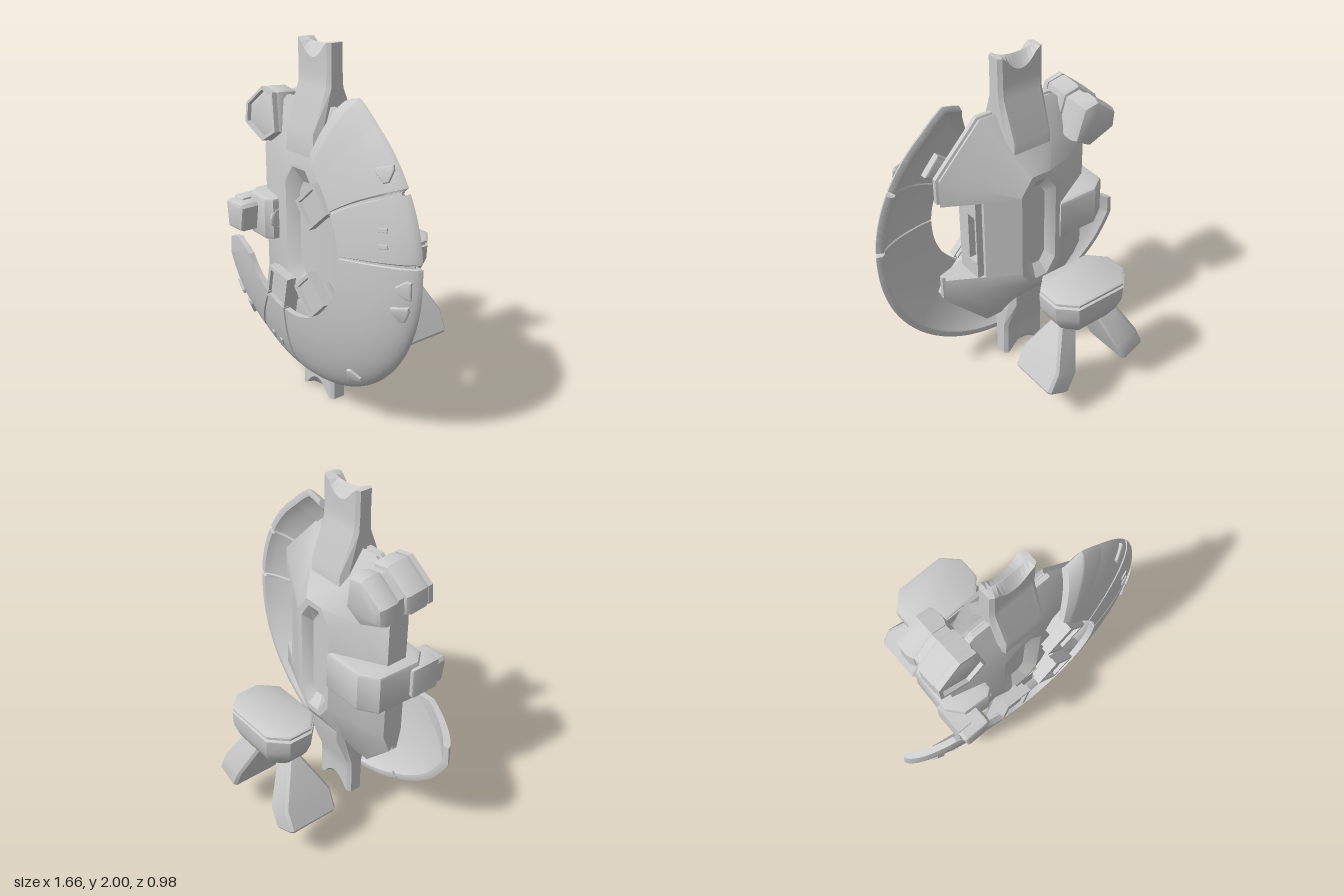
import * as THREE from 'three';
import { toCreasedNormals } from 'three/addons/utils/BufferGeometryUtils.js';

const grey = new THREE.MeshStandardMaterial({ color: 0xcccccc, side: THREE.DoubleSide });
const rad = THREE.MathUtils.degToRad, lerp = THREE.MathUtils.lerp;

function add(parent, name, geo, x = 0, y = 0, z = 0, crease = 0.45) {
  const m = new THREE.Mesh(toCreasedNormals(geo, crease), grey);
  m.name = name;
  m.position.set(x, y, z);
  parent.add(m);
  return m;
}

// Skin over equal-length rings, closed with a strip at both ends
function loft(rings) {
  const n = rings[0].length, idx = [], last = (rings.length - 1) * n;
  for (let r = 0; r < rings.length - 1; r++) for (let i = 0; i < n; i++) {
    const a = r * n + i, b = r * n + (i + 1) % n;
    idx.push(a, b, b + n, a, b + n, a + n);
  }
  for (let i = 0; i < n / 2 - 1; i++) {
    const a = i, b = i + 1, c = n - 2 - i, d = n - 1 - i;
    idx.push(a, c, b, a, d, c, last + a, last + b, last + c, last + a, last + c, last + d);
  }
  const g = new THREE.BufferGeometry();
  g.setAttribute('position', new THREE.Float32BufferAttribute(rings.flat(2), 3));
  g.setIndex(idx);
  return g;
}

// Horizontal chamfered rectangle at height y
function octY(y, hx, hz, c, z0 = 0) {
  const p = [[hx, hz - c], [hx, c - hz], [hx - c, -hz], [c - hx, -hz], [-hx, c - hz], [-hx, hz - c], [c - hx, hz], [hx - c, hz]];
  return p.map(([x, z]) => [x, y, z + z0]);
}

function extrude(points, depth, bevel, hole) {
  const s = new THREE.Shape(points.map(p => new THREE.Vector2(...p)));
  if (hole) s.holes.push(new THREE.Path(hole.map(p => new THREE.Vector2(...p))));
  return new THREE.ExtrudeGeometry(s, { depth, bevelEnabled: bevel > 0, bevelSize: bevel, bevelThickness: bevel, bevelOffset: -bevel, bevelSegments: 2 });
}
const rect = (w, h, x = 0) => [[x - w, -h], [x + w, -h], [x + w, h], [x - w, h]];

// Body section: octagon cut flat on one side and notched on the other
function bodyRing(z, hw, hh, cx, cy) {
  const e = hh - cy, n = Math.min(0.25, e), xi = Math.min(hw, 0.31), xl = Math.min(hw, 0.42), el = e + cy * (hw - xl) / cx;
  return [[hw, -e], [hw, -n], [xi, -n], [xi, n], [hw, n], [hw, e], [hw - cx, hh], [cx - hw, hh],
    [-xl, el], [-xl, -el], [cx - hw, -hh], [hw - cx, -hh]].map(([x, y]) => [x - 0.04, y + 1, z]);
}
function bodyGeometry() {
  const flat = [0.13, 0.365, 0.07, 0.1], rim = [0.51, 0.68, 0.27, 0.28];
  const mix = (z0, z1, t) => bodyRing(lerp(z0, z1, t), ...flat.map((v, i) => lerp(v, rim[i], t)));
  const cuts = [0, 0.4737, 0.7632, 1];
  return loft([
    bodyRing(0.03, 0.06, 0.26, 0.035, 0.06), bodyRing(-0.02, 0.1, 0.33, 0.06, 0.09),
    ...cuts.map(t => mix(-0.02, 0.19, t)),
    mix(0.205, 0.205, 0.96), mix(0.215, 0.215, 0.96), mix(0.22, 0.22, 1),
    ...cuts.reverse().map(t => mix(0.35, 0.245, t)),
    bodyRing(0.35, 0.12, 0.345, 0.065, 0.09), bodyRing(0.30, 0.06, 0.26, 0.035, 0.06)]);
}

// Post with a saddle-shaped end
function postGeometry() {
  const xs = Array.from({ length: 13 }, (_, i) => 1 - i / 6);
  const ring = (y, hx, hz, dip = 0) => {
    const row = s => xs.map(u => [hx * u, y - dip * Math.max(0, 1 - (u / 0.75) ** 2), s * hz * (Math.abs(u) === 1 ? 0.7 : 1)]);
    return [...row(-1), ...row(1).reverse()];
  };
  return loft([ring(0.42, 0.14, 0.14), ring(0.55, 0.14, 0.14), ring(0.77, 0.14, 0.055), ring(0.85, 0.14, 0.05),
    ring(1, 0.14, 0.05, 0.085), ring(1, 0.14, 0.001, 0.015)]);
}

// Curved shield: radii by angle, domed section, shallow seams notched at the rim
const table = (t, a) => {
  let i = 1;
  while (i < t.length - 1 && a > t[i][0]) i++;
  const [p, q] = [t[i - 1], t[i]];
  return lerp(p[1], q[1], THREE.MathUtils.clamp((a - p[0]) / (q[0] - p[0]), 0, 1));
};
const outer = [[195, 0.85], [202, 0.893], [215, 0.88], [237, 0.835], [270, 0.82], [360, 0.83], [392, 0.855], [415, 0.875], [426, 0.905], [431.5, 0.845]];
const inner = [[192, 0.57], [198, 0.47], [203, 0.435], [225, 0.41], [260, 0.39], [320, 0.39], [360, 0.4], [399, 0.43], [422, 0.48], [434, 0.55]];
const sweep = [[192, 195], [238, 237], [260, 261.6], [368.5, 367], [399, 391.6], [434, 431.5]];
const seams = sweep.slice(1, -1).map(s => s[0]);
const domeZ = (r, ro) => 0.27 + 0.205 * Math.max(0, 1 - (r / ro) ** 2) ** 0.6;

function shieldGeometry() {
  const rings = [], M = 12;
  for (let aIn = 192; aIn <= 434; aIn += 0.5) {
    const aOut = table(sweep, aIn), ri = table(inner, aIn), ro = table(outer, aOut), front = [], back = [];
    const seam = seams.some(s => Math.abs(aIn - s) < 0.8) ? 1 : 0;
    for (let j = 0; j <= M; j++) {
      const v = Math.sin(j / M * Math.PI / 2), a = lerp(aIn, aOut, v);
      const r = lerp(ri + 0.012 * seam, ro - 0.025 * seam, v), z = domeZ(r, ro) - 0.007 * seam;
      const c = Math.cos(rad(a)), s = Math.sin(rad(a)), rb = r - 0.025 * v;
      front.push([r * c, 0.95 + r * s, z]);
      back.unshift([rb * c, 0.95 + rb * s, Math.max(0.262, z - 0.035)]);
    }
    rings.push([...front, ...back]);
  }
  return loft(rings);
}

// Seat a small part on the shield surface
function onShield(parent, name, geo, x, y, turn) {
  const r = Math.hypot(x, y - 0.95), a = Math.atan2(y - 0.95, x);
  const ro = table(outer, (THREE.MathUtils.radToDeg(a) - 192 + 720) % 360 + 192);
  const d = (domeZ(r + 0.01, ro) - domeZ(r - 0.01, ro)) / 0.02;
  const m = add(parent, name, geo, x, y, domeZ(r, ro));
  const n = new THREE.Vector3(-d * Math.cos(a), -d * Math.sin(a), 1).normalize();
  m.quaternion.setFromUnitVectors(new THREE.Vector3(0, 0, 1), n);
  m.rotateZ(turn);
}

export function createModel() {
  const g = new THREE.Group();
  g.name = 'shieldAssembly';

  // Body, notch frame and end posts
  add(g, 'body', bodyGeometry());
  add(g, 'notchFrame', extrude(rect(0.08, 0.25), 0.045, 0, rect(0.035, 0.15, 0.04)).rotateY(Math.PI / 2), 0.265, 1, 0.18);
  add(g, 'topPost', postGeometry(), -0.04, 1, 0.2);
  const bottomPost = add(g, 'bottomPost', postGeometry(), -0.04, 1, 0.2);
  bottomPost.rotation.z = Math.PI;

  // Shield with studs and slots
  add(g, 'shield', shieldGeometry());
  const studShape = [[-0.05, -0.035], [0.045, -0.04], [0.05, -0.015], [0.015, 0.045], [-0.015, 0.045], [-0.05, -0.01]];
  for (const [x, y, t] of [[0.62, 1.47, 3.5], [0.77, 0.93, 1.6], [0.75, 0.8, 3.3], [0.4, 0.32, 0.3], [-0.56, 0.38, 3.5], [-0.66, 0.47, 0.2]])
    onShield(g, 'stud', extrude(studShape, 0.004, 0.01), x, y, t);
  for (const [x, y, t] of [[0.655, 1.21, 0.1], [0.665, 1.13, 0.1], [-0.28, 0.31, 1.3], [-0.2, 0.29, 1.3]])
    onShield(g, 'slot', extrude(rect(0.026, 0.011), 0.004, 0.003), x, y, t);

  // Clips joining the body and the shield
  for (const [x, y, a] of [[0.18, 1.21, 40], [0.15, 0.715, -47], [-0.145, 0.66, 258]]) {
    const clip = new THREE.Group();
    clip.name = 'clip';
    clip.position.set(x, y, 0);
    clip.rotation.z = rad(a);
    add(clip, 'clipFrame', extrude(rect(0.098, 0.086), 0.045, 0, rect(0.078, 0.066)), 0, 0, 0.395);
    add(clip, 'clipFace', extrude(rect(0.09, 0.078), 0.045, 0), 0, 0, 0.375);
    add(clip, 'clipArm', extrude(rect(0.17, 0.07), 0.04, 0.012), 0.15, 0, 0.335);
    g.add(clip);
  }

  // Two-lobed pod
  const pod = [[-0.145, -0.075], [0.03, -0.15], [0.145, -0.08], [0.1, 0.13], [0, 0.15], [-0.145, 0.035]];
  const scaled = s => pod.map(p => p.map(v => v * s));
  const podGroup = new THREE.Group();
  podGroup.name = 'pod';
  podGroup.position.set(-0.418, 1.55, 0.16);
  podGroup.rotation.x = -0.1;
  add(podGroup, 'podFrontLobe', extrude(pod, 0.1, 0.03), 0, 0, 0.015);
  add(podGroup, 'podRearLobe', extrude(scaled(0.97), 0.06, 0.045), 0, 0, -0.14);
  add(podGroup, 'podCore', extrude(scaled(0.85), 0.2, 0), 0, 0, -0.1);
  add(podGroup, 'podFrame', extrude(scaled(0.98), 0.03, 0, scaled(0.85)), 0, 0, 0.135);
  g.add(podGroup);

  // Side bracket wrapping the body edge, with its front grip
  const wrap = [[-0.17, -0.03], [-0.42, -0.03], [-0.52, 0.04], [-0.53, 0.3], [-0.46, 0.38], [-0.31, 0.39], [-0.27, 0.36], [-0.27, 0.2], [-0.17, 0.05]];
  add(g, 'bracket', extrude(wrap, 0.2, 0.02).rotateX(Math.PI / 2), 0, 1.1, 0);
  add(g, 'socketRing', new THREE.TorusGeometry(0.055, 0.012, 8, 24).rotateY(Math.PI / 2), -0.278, 1, 0.31);
  add(g, 'gripArm', extrude(rect(0.045, 0.09), 0.16, 0.015), -0.505, 1, 0.26);
  add(g, 'grip', extrude([[-0.07, -0.08], [0.06, -0.08], [0.085, 0.06], [0.07, 0.08], [-0.07, 0.08], [-0.085, 0.06]], 0.12, 0.02), -0.465, 1, 0.35);

  // Rear bowl
  add(g, 'bowl', loft([octY(0.555, 0.13, 0.08, 0.05, 0.01), octY(0.575, 0.165, 0.105, 0.065, 0.01), octY(0.64, 0.21, 0.138, 0.08, 0.005),
    octY(0.71, 0.24, 0.158, 0.09), octY(0.79, 0.245, 0.16, 0.09), octY(0.795, 0.23, 0.148, 0.085), octY(0.805, 0.23, 0.148, 0.085),
    octY(0.81, 0.242, 0.158, 0.09), octY(0.82, 0.242, 0.158, 0.09), octY(0.83, 0.23, 0.145, 0.085)]), -0.085, 0, -0.33, 0.7);

  // Splayed rear legs with sole pads
  for (const s of [-1, 1]) {
    const leg = new THREE.Group();
    leg.name = s > 0 ? 'leftLeg' : 'rightLeg';
    leg.position.set(-0.09 + s * 0.28, 0.23, -0.325);
    leg.rotation.z = s * rad(24);
    add(leg, 'legBlock', loft([octY(0, 0.072, 0.148, 0.015), octY(0.012, 0.08, 0.155, 0.015), octY(0.14, 0.08, 0.155, 0.015),
      octY(0.38, 0.065, 0.045, 0.015), octY(0.42, 0.055, 0.03, 0.012)]));
    add(leg, 'sole', extrude(rect(0.06, 0.13), 0.006, 0, rect(0.05, 0.118)).rotateX(Math.PI / 2));
    g.add(leg);
  }
  return g;
}
